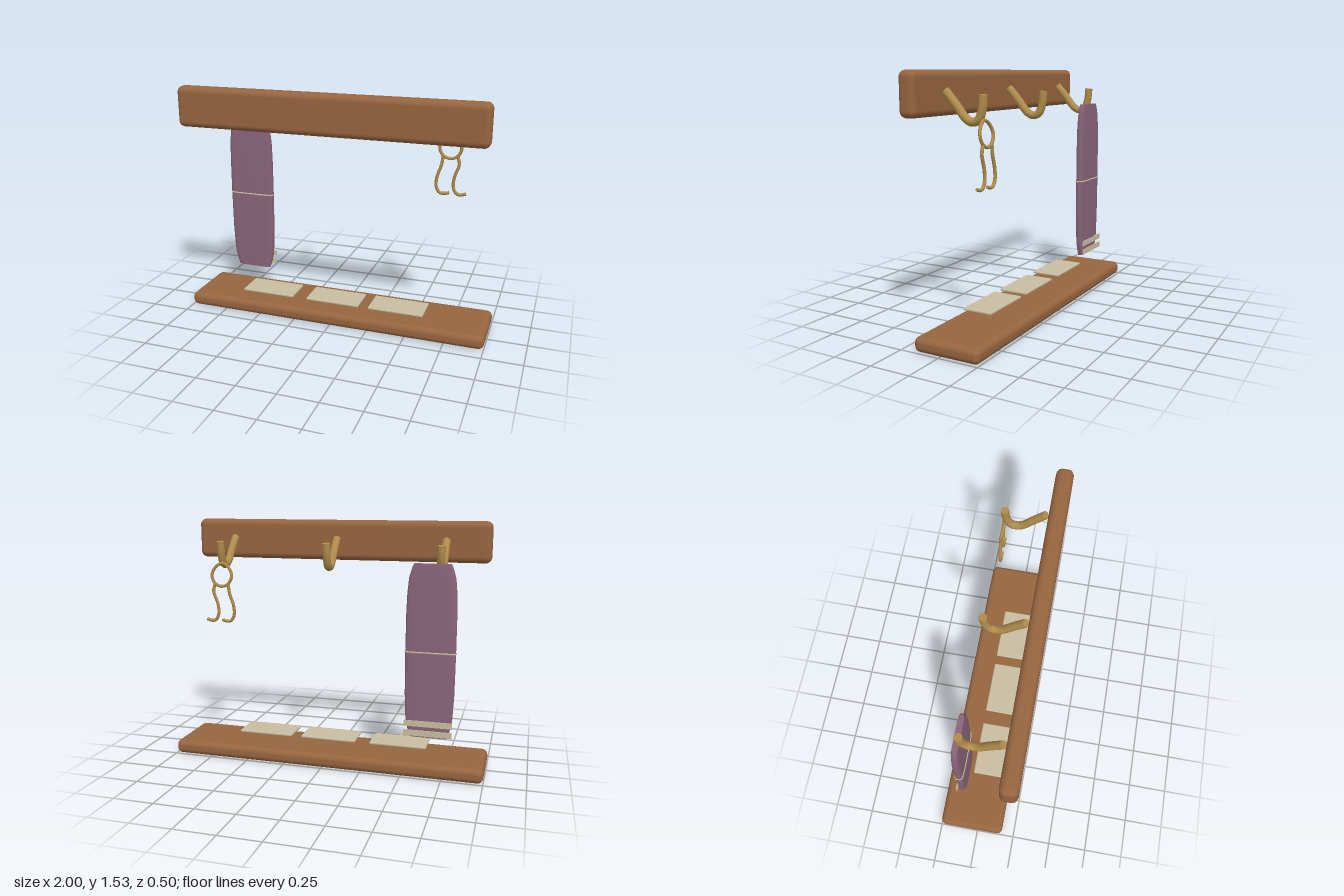
import * as THREE from 'three';
import { RoundedBoxGeometry } from 'three/addons/geometries/RoundedBoxGeometry.js';

const mat = (color) => new THREE.MeshStandardMaterial({ color });

export function createModel() {
  const group = new THREE.Group();
  const wood = mat(0x96653f);
  const brass = mat(0xb08d4c);
  const cloth = mat(0x8a657a);
  const paper = mat(0xc8bda0);

  function add(name, geometry, material, x = 0, y = 0, z = 0) {
    const mesh = new THREE.Mesh(geometry, material);
    mesh.name = name;
    mesh.position.set(x, y, z);
    group.add(mesh);
    return mesh;
  }
  const curve = (points, closed = false) =>
    new THREE.CatmullRomCurve3(points.map((p) => new THREE.Vector3(...p)), closed);

  // Tube with flat caps on both ends
  function rod(name, points, radius, segments, x = 0) {
    const path = curve(points);
    add(name, new THREE.TubeGeometry(path, segments, radius, 10), brass, x);
    for (const [t, sign] of [[0, -1], [1, 1]]) {
      const p = path.getPoint(t);
      const cap = add(name + 'Cap', new THREE.CircleGeometry(radius, 10), brass, p.x + x, p.y, p.z);
      cap.quaternion.setFromUnitVectors(new THREE.Vector3(0, 0, 1), path.getTangent(t).multiplyScalar(sign));
    }
  }

  // Wall rail and base shelf
  add('rail', new RoundedBoxGeometry(1.94, 0.255, 0.105, 4, 0.038), wood, 0, 1.398, 0.2);
  add('shelf', new RoundedBoxGeometry(2, 0.09, 0.42, 4, 0.036), wood, 0, 0.045, -0.042);

  // Cards above the shelf
  for (const x of [-0.455, 0, 0.425]) {
    add('card', new RoundedBoxGeometry(0.36, 0.016, 0.192, 2, 0.006), paper, x, 0.139, 0.004);
  }

  // Three hooks curling up at the back
  const hookPath = [
    [0, 1.412, 0.13], [0, 1.335, 0.06], [0, 1.265, 0], [0, 1.245, -0.04],
    [0, 1.256, -0.08], [0, 1.31, -0.105], [0, 1.395, -0.115],
  ];
  for (const x of [-0.697, 0, 0.697]) rod('hook', hookPath, 0.025, 20, x);

  // Hanging cloth: rounded sections lofted from bottom to top
  const sections = [ // y, half width, half depth
    [0.23, 0.114, 0.018], [0.26, 0.125, 0.02], [0.33, 0.142, 0.0225], [0.5, 0.15, 0.024],
    [0.76, 0.152, 0.025], [1.0, 0.151, 0.0245], [1.12, 0.147, 0.024], [1.21, 0.138, 0.022],
    [1.27, 0.12, 0.02], [1.29, 0.11, 0.018],
  ];
  const sides = 24;
  const outline = (i, w, d) => {
    const a = (i / sides) * Math.PI * 2;
    const soft = (v) => Math.sign(v) * Math.pow(Math.abs(v), 0.4);
    return [w * soft(Math.cos(a)), d * soft(Math.sin(a))];
  };
  const positions = [];
  const index = [];
  sections.forEach(([y, w, d], r) => {
    for (let i = 0; i < sides; i++) {
      const [x, z] = outline(i, w, d);
      positions.push(x, y, z);
      if (r === 0) continue;
      const n = (i + 1) % sides;
      const a = (r - 1) * sides + i, b = (r - 1) * sides + n;
      index.push(a, a + sides, b, b, a + sides, b + sides);
    }
  });
  // End caps on their own vertices
  for (const [y, w, d, top] of [[...sections[0], false], [...sections.at(-1), true]]) {
    const c = positions.length / 3;
    positions.push(0, y, 0);
    for (let i = 0; i < sides; i++) {
      const [x, z] = outline(i, w, d);
      positions.push(x, y, z);
      const p = c + 1 + i, q = c + 1 + ((i + 1) % sides);
      index.push(c, top ? q : p, top ? p : q);
    }
  }
  const clothGeometry = new THREE.BufferGeometry();
  clothGeometry.setAttribute('position', new THREE.Float32BufferAttribute(positions, 3));
  clothGeometry.setIndex(index);
  clothGeometry.computeVertexNormals();
  add('cloth', clothGeometry, cloth, -0.653, 0, -0.13);

  // Cord tied round the middle of the cloth
  const cord = [];
  for (let i = 0; i < sides; i++) {
    const [x, z] = outline(i, 0.152, 0.026);
    cord.push([x, 0, z]);
  }
  add('cord', new THREE.TubeGeometry(curve(cord, true), 96, 0.005, 6, true), paper, -0.653, 0.76, -0.13);

  // Two flat strips behind the lower end
  for (const y of [0.262, 0.322]) {
    add('strip', new THREE.BoxGeometry(0.294, 0.036, 0.006), paper, -0.653, y, -0.17);
  }

  // Wire clasp: ring and two curling legs
  const ring = [
    [0.69, 1.258, -0.115], [0.643, 1.23, -0.12], [0.622, 1.18, -0.128], [0.645, 1.13, -0.132],
    [0.69, 1.112, -0.133], [0.735, 1.13, -0.132], [0.757, 1.18, -0.128], [0.737, 1.23, -0.12],
  ];
  add('claspRing', new THREE.TubeGeometry(curve(ring, true), 32, 0.01, 8, true), brass);
  rod('claspLeg', [
    [0.645, 1.13, -0.132], [0.638, 1.07, -0.132], [0.613, 0.99, -0.13], [0.611, 0.93, -0.13],
    [0.633, 0.892, -0.13], [0.66, 0.888, -0.13], [0.692, 0.895, -0.13],
  ], 0.01, 28);
  rod('claspLeg', [
    [0.735, 1.13, -0.132], [0.747, 1.08, -0.132], [0.722, 1.0, -0.13], [0.717, 0.935, -0.13],
    [0.738, 0.894, -0.13], [0.765, 0.888, -0.13], [0.797, 0.897, -0.13],
  ], 0.01, 28);

  return group;
}
